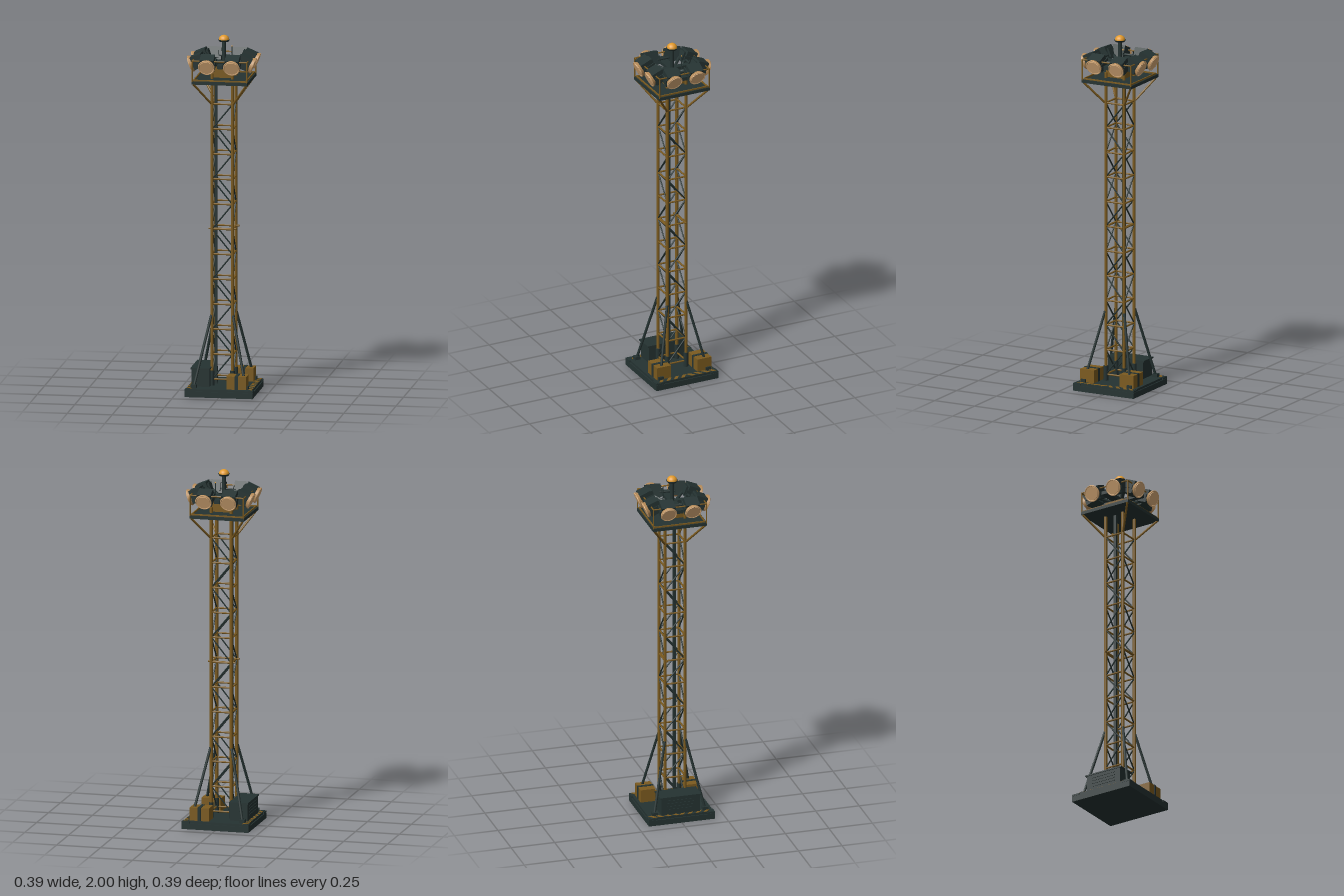
import * as THREE from 'three';

export function createModel() {
  const root = new THREE.Group();
  root.name = 'floodlightTower';
  const mat = (name, color) => {
    const m = new THREE.MeshStandardMaterial({ color });
    m.name = name;
    return m;
  };
  const dark = mat('darkSteel', 0x253332);
  const ochre = mat('ochrePaint', 0x7c5b1f);
  const lensMat = mat('lens', 0xdcae7a);
  const rimMat = mat('lampRim', 0xb58a58);
  const amber = mat('amberBeacon', 0xe29a2c);

  const add = (parent, name, geo, m, x = 0, y = 0, z = 0) => {
    const mesh = new THREE.Mesh(geo, m);
    mesh.name = name;
    mesh.position.set(x, y, z);
    parent.add(mesh);
    return mesh;
  };
  const box = (name, m, w, h, d, x, y, z, parent = root) =>
    add(parent, name, new THREE.BoxGeometry(w, h, d), m, x, y, z);
  const cyl = (name, m, rt, rb, h, x, y, z, n = 12, parent = root) =>
    add(parent, name, new THREE.CylinderGeometry(rt, rb, h, n), m, x, y, z);
  // Round bar between two points
  const bar = (name, m, a, b, r, parent = root, n = 8) => {
    const p = new THREE.Vector3(...a), q = new THREE.Vector3(...b);
    const d = q.clone().sub(p);
    const mesh = add(parent, name, new THREE.CylinderGeometry(r, r, d.length(), n), m);
    mesh.position.copy(p).add(q).multiplyScalar(0.5);
    mesh.quaternion.setFromUnitVectors(new THREE.Vector3(0, 1, 0), d.normalize());
    return mesh;
  };
  const corners = [[1, 1], [1, -1], [-1, 1], [-1, -1]];

  // Base slab
  box('basePlate', dark, 0.38, 0.032, 0.38, 0, 0.016, 0);
  box('baseDeck', dark, 0.368, 0.013, 0.368, 0, 0.0385, 0);
  for (const [sx, sz] of corners) box('cornerPlate', dark, 0.046, 0.01, 0.046, sx * 0.167, 0.038, sz * 0.167);

  // Slanted hazard stripes along both side edges
  for (const s of [1, -1]) {
    for (let i = 0; i < 8; i++) {
      const z = -0.168 + i * 0.045, k = z < 0 ? 0.012 : -0.012;
      const sh = new THREE.Shape([
        new THREE.Vector2(-0.015, -0.011 - k), new THREE.Vector2(0.015, -0.011 + k),
        new THREE.Vector2(0.015, 0.011 + k), new THREE.Vector2(-0.015, 0.011 - k)]);
      const st = add(root, 'hazardStripe', new THREE.ExtrudeGeometry(sh, { depth: 0.002, bevelEnabled: false }),
        ochre, s * 0.168, 0.0445, Math.max(-0.16, Math.min(0.16, z)));
      st.rotation.x = -Math.PI / 2;
      if (s < 0) st.rotation.z = Math.PI;
    }
  }

  // Power cabinet with lid and vents
  box('cabinet', dark, 0.1, 0.098, 0.22, -0.114, 0.094, 0);
  box('cabinetLid', dark, 0.108, 0.008, 0.236, -0.114, 0.146, 0);
  for (let i = 0; i < 4; i++) box('cabinetVent', dark, 0.004, 0.006, 0.15, -0.165, 0.075 + i * 0.017, 0);

  // Ballast boxes with dark straps
  for (const s of [1, -1]) {
    box('ballastBox', ochre, 0.11, 0.073, 0.086, 0.096, 0.0815, s * 0.124);
    box('ballastStrap', dark, 0.018, 0.076, 0.09, 0.096, 0.082, s * 0.124);
  }

  // Tower legs, sleeves, stay struts and platform braces
  const L = 0.057;
  for (const [sx, sz] of corners) {
    cyl('towerLeg', ochre, 0.009, 0.009, 1.735, sx * L, 0.9125, sz * L);
    cyl('legSleeve', dark, 0.013, 0.013, 0.085, sx * L, 0.087, sz * L);
    cyl('legCap', ochre, 0.009, 0.009, 0.03, sx * L, 1.78, sz * L);
    bar('stayStrut', dark, [sx * 0.06, 0.44, sz * 0.06], [sx * 0.145, 0.05, sz * 0.145], 0.0075);
    box('strutFoot', dark, 0.03, 0.02, 0.03, sx * 0.145, 0.053, sz * 0.145);
    bar('platformBrace', ochre, [sx * 0.062, 1.625, sz * 0.062], [sx * 0.148, 1.748, sz * 0.148], 0.006);
  }

  // Lattice: rungs and alternating diagonals on all four faces
  const y0 = 0.08, step = 0.1402;
  for (let i = 0; i <= 11; i++) {
    const y = y0 + i * step;
    for (const s of [1, -1]) {
      bar('rung', ochre, [-L, y, s * L], [L, y, s * L], 0.005);
      bar('rung', ochre, [s * L, y, -L], [s * L, y, L], 0.005);
      if (i === 11) continue;
      const d = i % 2 ? -1 : 1;
      bar('diagonal', dark, [-L * d, y, s * L], [L * d, y + step, s * L], 0.004);
      bar('diagonal', dark, [s * L, y, L * d], [s * L, y + step, -L * d], 0.004);
    }
  }
  for (const s of [1, -1]) bar('crossBar', ochre, [-0.077, 0.923, s * 0.05], [0.077, 0.923, s * 0.05], 0.005);
  box('cableConduit', dark, 0.014, 1.7, 0.016, -0.044, 0.895, 0);

  // Top platform with toe boards and guard rail
  box('platform', dark, 0.31, 0.018, 0.31, 0, 1.755, 0);
  for (const s of [1, -1]) {
    box('toeBoard', ochre, 0.29, 0.008, 0.006, 0, 1.768, s * 0.145);
    box('toeBoard', ochre, 0.006, 0.008, 0.29, s * 0.145, 1.768, 0);
    bar('guardRail', ochre, [-0.152, 1.877, s * 0.152], [0.152, 1.877, s * 0.152], 0.004);
    bar('guardRail', ochre, [s * 0.152, 1.877, -0.152], [s * 0.152, 1.877, 0.152], 0.004);
  }
  for (const [sx, sz] of corners) bar('railPost', ochre, [sx * 0.152, 1.76, sz * 0.152], [sx * 0.152, 1.88, sz * 0.152], 0.004);

  // Hub and lamp carrier beams
  box('hub', ochre, 0.114, 0.06, 0.114, 0, 1.8, 0);
  box('carrierBeam', dark, 0.3, 0.02, 0.044, 0, 1.845, 0);
  box('carrierBeam', dark, 0.03, 0.02, 0.3, 0, 1.846, 0);
  for (const [sx, sz] of corners)
    bar('carrierArm', dark, [sx * 0.03, 1.835, sz * 0.03], [sx * 0.1, 1.865, sz * 0.1], 0.009);

  // Eight floodlights, two per side, aimed outward and down
  for (let side = 0; side < 4; side++) {
    const bank = new THREE.Group();
    bank.name = 'lampBank';
    bank.rotation.y = side * Math.PI / 2;
    root.add(bank);
    bar('lampRail', dark, [-0.1, 1.865, 0.1], [0.1, 1.865, 0.1], 0.007, bank);
    for (const s of [1, -1]) {
      const lamp = new THREE.Group();
      lamp.name = 'floodlight';
      lamp.position.set(s * 0.07, 1.848, 0.17);
      lamp.rotation.x = 0.4;
      bank.add(lamp);
      box('lampHousing', dark, 0.078, 0.074, 0.066, 0, 0, -0.043, lamp);
      box('lampBackFin', dark, 0.05, 0.05, 0.014, 0, 0, -0.08, lamp);
      cyl('lampBezel', rimMat, 0.047, 0.04, 0.016, 0, 0, -0.004, 24, lamp).rotation.x = Math.PI / 2;
      cyl('lampLens', lensMat, 0.038, 0.039, 0.006, 0, 0, 0.005, 24, lamp).rotation.x = Math.PI / 2;
      add(lamp, 'lampRing', new THREE.TorusGeometry(0.043, 0.004, 6, 24), lensMat, 0, 0, 0.004);
      for (const t of [1, -1]) box('yoke', dark, 0.005, 0.02, 0.07, t * 0.042, 0, -0.05, lamp);
    }
  }

  // Mast with amber beacon
  cyl('mast', dark, 0.01, 0.012, 0.13, 0, 1.905, 0);
  cyl('beaconCollar', dark, 0.032, 0.026, 0.01, 0, 1.969, 0, 20);
  const dome = add(root, 'beaconDome', new THREE.SphereGeometry(0.029, 16, 8, 0, Math.PI * 2, 0, Math.PI / 2), amber, 0, 1.973, 0);
  dome.scale.y = 0.93;

  // Small sensor post
  box('sensorBase', dark, 0.02, 0.012, 0.02, 0.038, 1.836, -0.04);
  bar('sensorPost', dark, [0.038, 1.83, -0.04], [0.038, 1.928, -0.04], 0.003);
  add(root, 'sensorTip', new THREE.SphereGeometry(0.004, 8, 6), amber, 0.038, 1.93, -0.04);

  return root;
}
